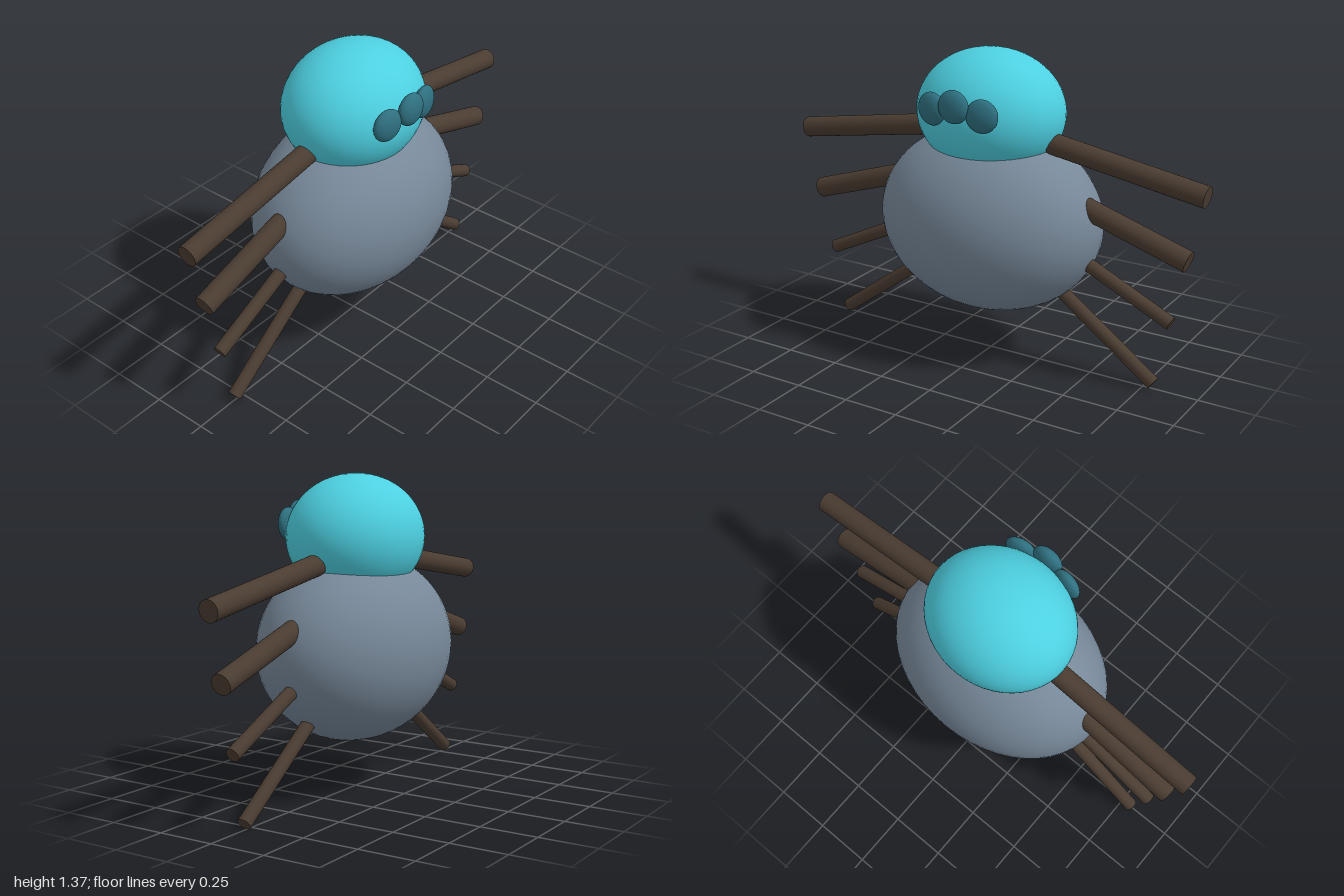
import * as THREE from 'three';

const material = (color) => new THREE.MeshStandardMaterial({ color });

export function createModel() {
  const model = new THREE.Group();
  model.name = 'spider';
  const bodyMat = material(0x778899);
  const headMat = material(0x4dd0e1);
  const eyeMat = material(0x2f7080);
  const legMat = material(0x4a3c31);

  function ellipsoid(name, mat, position, radii) {
    const mesh = new THREE.Mesh(new THREE.SphereGeometry(1, 48, 32), mat);
    mesh.name = name;
    mesh.position.set(...position);
    mesh.scale.set(...radii);
    model.add(mesh);
    return mesh;
  }

  // Body and head
  ellipsoid('body', bodyMat, [0, 0.63, 0], [0.515, 0.41, 0.38]);
  ellipsoid('head', headMat, [0, 1.105, 0], [0.33, 0.27, 0.285]);

  // Row of three flattened eyes, the outer two turned to follow the head
  ellipsoid('middleEye', eyeMat, [0, 1.185, 0.296], [0.07, 0.07, 0.036]);
  for (const side of [1, -1]) {
    const eye = ellipsoid(side > 0 ? 'leftEye' : 'rightEye', eyeMat,
      [0.12 * side, 1.157, 0.272], [0.07, 0.07, 0.033]);
    eye.rotation.y = 0.17 * side;
  }

  // Four pairs of straight legs: tip x, tip y, slope, radius
  const legs = [
    [0.992, 0.888, -0.165, 0.046],
    [0.927, 0.602, -0.315, 0.046],
    [0.863, 0.317, -0.475, 0.03],
    [0.797, 0.027, -0.73, 0.03],
  ];
  const innerX = 0.22;
  const up = new THREE.Vector3(0, 1, 0);
  legs.forEach(([x, y, slope, radius], i) => {
    for (const side of [1, -1]) {
      const tip = new THREE.Vector3(x * side, y, 0);
      const root = new THREE.Vector3(innerX * side, y + slope * (innerX - x), 0);
      const axis = root.clone().sub(tip);
      const leg = new THREE.Mesh(
        new THREE.CylinderGeometry(radius, radius, axis.length(), 32), legMat);
      leg.name = (side > 0 ? 'leftLeg' : 'rightLeg') + (i + 1);
      leg.position.copy(tip).add(root).multiplyScalar(0.5);
      leg.quaternion.setFromUnitVectors(up, axis.normalize());
      model.add(leg);
    }
  });

  return model;
}
